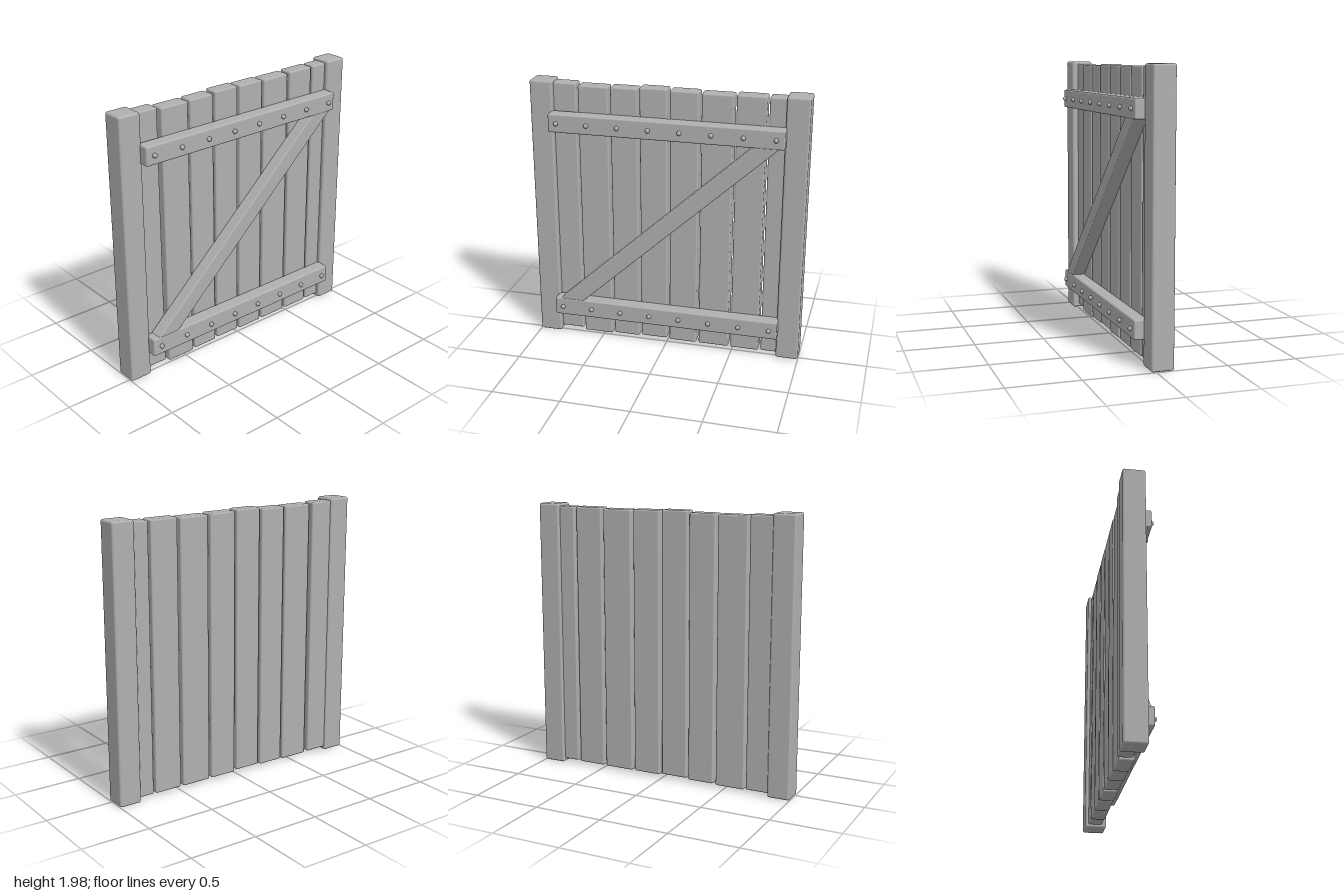
import * as THREE from 'three';
import { RoundedBoxGeometry } from 'three/addons/geometries/RoundedBoxGeometry.js';

const grey = new THREE.MeshStandardMaterial({ color: 0xb0b0b0 });
grey.name = 'plain grey';

// Rounded beam given by its extents on each axis
function beam(name, [x0, x1], [y0, y1], [z0, z1], radius = 0.012) {
  const geometry = new RoundedBoxGeometry(x1 - x0, y1 - y0, z1 - z0, 3, radius);
  const mesh = new THREE.Mesh(geometry, grey);
  mesh.name = name;
  mesh.position.set((x0 + x1) / 2, (y0 + y1) / 2, (z0 + z1) / 2);
  return mesh;
}

export function createModel() {
  const gate = new THREE.Group();
  gate.name = 'gate';

  // Side posts
  gate.add(beam('rightPost', [-1, -0.835], [0.005, 1.985], [-0.125, 0.035], 0.016));
  gate.add(beam('leftPost', [0.835, 1], [0.005, 1.985], [-0.125, 0.035], 0.016));

  // Uneven upright planks: x from, x to, bottom, top, back, front
  const planks = [
    [-0.88, -0.67, 0.03, 1.968, -0.113, -0.01],
    [-0.65, -0.43, 0.02, 1.96, -0.1, 0.007],
    [-0.412, -0.215, 0.027, 1.962, -0.103, 0.004],
    [-0.198, 0.001, 0.035, 1.973, -0.1, 0.005],
    [0.02, 0.226, 0.027, 1.967, -0.103, 0.004],
    [0.246, 0.47, 0.027, 1.962, -0.104, 0.003],
    [0.49, 0.699, 0.027, 1.968, -0.1, 0.005],
    [0.717, 0.88, 0.03, 1.967, -0.1, 0.003],
  ];
  for (const [x0, x1, y0, y1, z0, z1] of planks) {
    gate.add(beam('plank', [x0, x1], [y0, y1], [z0, z1]));
  }

  // Cross rails, each with a row of eight round nail heads
  const nail = new THREE.SphereGeometry(0.017, 14, 10);
  for (const [name, y0, y1, nailY] of [['topRail', 1.63, 1.766, 1.698], ['bottomRail', 0.185, 0.321, 0.253]]) {
    gate.add(beam(name, [-0.848, 0.846], [y0, y1], [0, 0.102]));
    for (let i = 0; i < 8; i++) {
      const head = new THREE.Mesh(nail, grey);
      head.name = 'nailHead';
      head.position.set(-0.786 + i * 0.2245, nailY, 0.108);
      gate.add(head);
    }
  }

  // Diagonal brace: an upright beam sheared so its ends lie flush with the rails
  const brace = beam('brace', [-0.083, 0.093], [0.295, 1.655], [0, 0.098]);
  const slope = 1.09;
  brace.geometry.applyMatrix4(new THREE.Matrix4().set(
    1, slope, 0, 0,
    0, 1, 0, 0,
    0, 0, 1, 0,
    0, 0, 0, 1,
  ));
  gate.add(brace);

  return gate;
}
